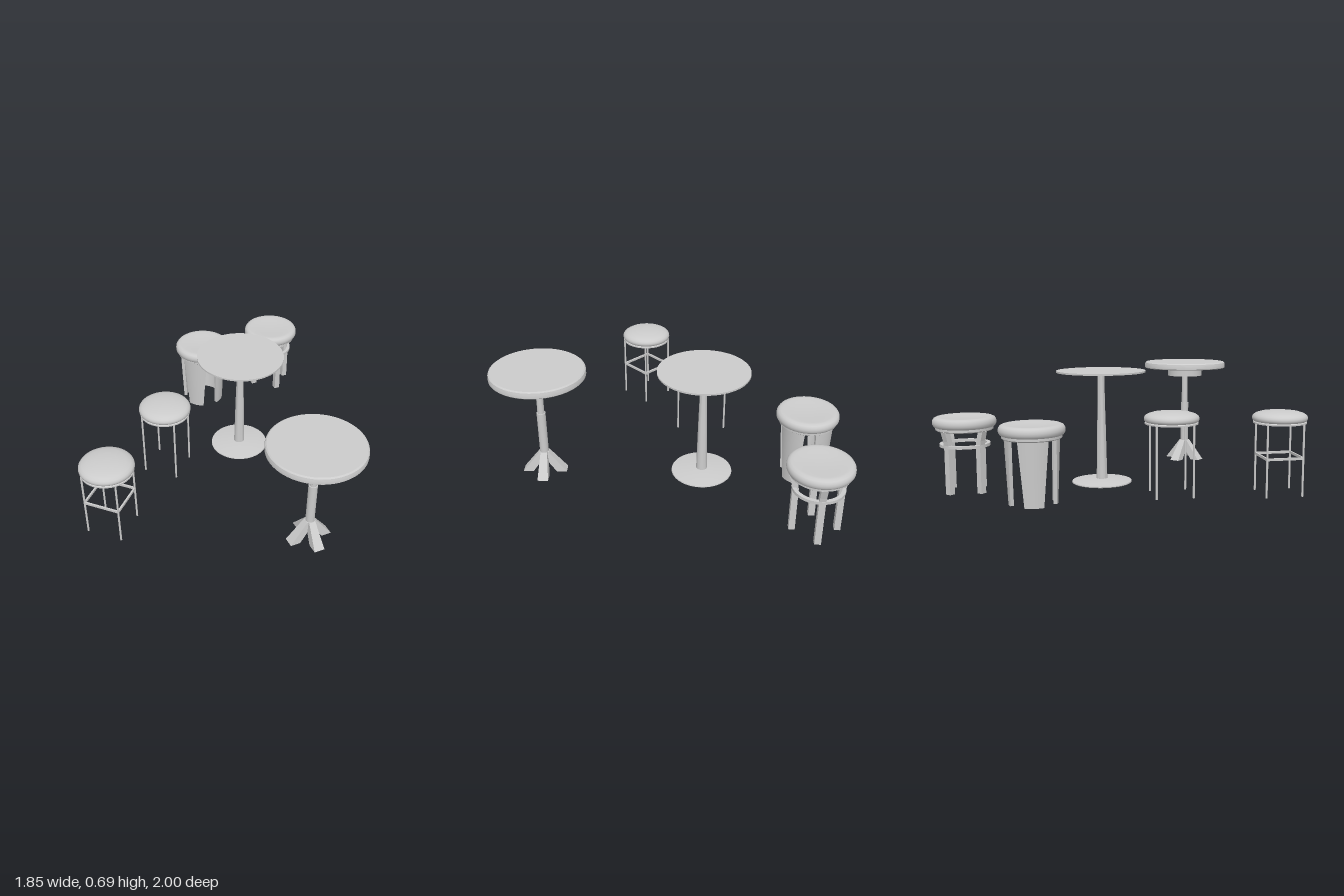
import * as THREE from 'three';
import { toCreasedNormals } from 'three/addons/utils/BufferGeometryUtils.js';

const material = new THREE.MeshStandardMaterial({ color: 0xcccccc });

function add(parent, name, geometry, x = 0, y = 0, z = 0) {
  const mesh = new THREE.Mesh(geometry, material);
  mesh.name = name;
  mesh.position.set(x, y, z);
  parent.add(mesh);
  return mesh;
}

function place(parent, name, x, z) {
  const group = new THREE.Group();
  group.name = name;
  group.position.set(x, 0, z);
  parent.add(group);
  return group;
}

// Turned solid from [radius, height] pairs, listed bottom to top
function turned(points, segments = 48) {
  const profile = points.map(([r, y]) => new THREE.Vector2(r, y));
  return toCreasedNormals(new THREE.LatheGeometry(profile, segments), 0.6);
}

// Runs a builder four times, a quarter turn apart
function fourTimes(parent, name, start, build) {
  for (let i = 0; i < 4; i++) {
    const arm = new THREE.Group();
    arm.name = name + (i + 1);
    arm.rotation.y = start + i * Math.PI / 2;
    parent.add(arm);
    build(arm);
  }
}

// Side profile in the radius/height plane, given a width
function slab(points, width) {
  const shape = new THREE.Shape(points.map(([r, y]) => new THREE.Vector2(r, y)));
  const geometry = new THREE.ExtrudeGeometry(shape, { depth: width, bevelEnabled: false });
  return geometry.translate(0, 0, -width / 2);
}

// Slim stool with four rod legs and optional square foot rail
function slimStool(parent, name, x, z, withRail) {
  const stool = place(parent, name, x, z);
  const legRadius = 0.149;
  add(stool, 'seatCushion', turned([
    [0, 0.42], [0.146, 0.42], [0.153, 0.426], [0.157, 0.435], [0.156, 0.445],
    [0.15, 0.455], [0.136, 0.464], [0.11, 0.472], [0.06, 0.479], [0, 0.481],
  ]));
  add(stool, 'seatPlate', turned([[0, 0.409], [0.152, 0.409], [0.152, 0.417], [0.146, 0.422], [0, 0.422]]));
  fourTimes(stool, 'legSide', 0, (side) => {
    add(side, 'leg', new THREE.CylinderGeometry(0.006, 0.006, 0.412, 12), legRadius, 0.206, 0);
    if (!withRail) return;
    const rail = add(side, 'footRail', new THREE.BoxGeometry(legRadius * Math.SQRT2, 0.014, 0.01),
      legRadius / 2, 0.218, legRadius / 2);
    rail.rotation.y = Math.PI / 4;
  });
}

// Thick round cushion on a stepped collar
function roundSeat(stool) {
  add(stool, 'seatCushion', turned([
    [0, 0.38], [0.16, 0.38], [0.172, 0.386], [0.179, 0.398], [0.18, 0.41], [0.178, 0.422],
    [0.171, 0.433], [0.158, 0.439], [0.14, 0.439], [0.1, 0.435], [0.05, 0.432], [0, 0.431],
  ]));
  add(stool, 'seatCollar', turned([[0, 0.362], [0.155, 0.362], [0.163, 0.368], [0.163, 0.382], [0, 0.382]]));
}

// Curved tapering leg panel, bent from a box around the stool axis
function legPanel() {
  const geometry = new THREE.BoxGeometry(1, 1, 1, 10, 6, 1);
  const p = geometry.attributes.position;
  for (let i = 0; i < p.count; i++) {
    const t = p.getY(i) + 0.5;
    const angle = p.getX(i) * 2 * THREE.MathUtils.lerp(0.4, 0.58, t);
    const radius = THREE.MathUtils.lerp(0.134, 0.15, t) + (p.getZ(i) - 0.5) * 0.02;
    p.setXYZ(i, Math.sin(angle) * radius, 0.005 + t * 0.36, Math.cos(angle) * radius);
  }
  return toCreasedNormals(geometry, 0.6);
}

function panelStool(parent, x, z) {
  const stool = place(parent, 'panelLegStool', x, z);
  roundSeat(stool);
  const panel = legPanel();
  fourTimes(stool, 'legSide', Math.PI / 4, (side) => add(side, 'legPanel', panel));
}

// Stool with flared posts tied by a ring
function ringStool(parent, x, z) {
  const stool = place(parent, 'ringStool', x, z);
  roundSeat(stool);
  const post = slab([
    [0.106, 0.005], [0.14, 0.005], [0.14, 0.275], [0.146, 0.31], [0.162, 0.365],
    [0.126, 0.365], [0.112, 0.31], [0.106, 0.275],
  ], 0.036);
  fourTimes(stool, 'legSide', 0, (side) => add(side, 'flaredLeg', post));
  add(stool, 'tieRing', turned([
    [0.122, 0.27], [0.143, 0.27], [0.143, 0.287], [0.122, 0.287], [0.122, 0.27],
  ]));
}

// Thin table on a tapered column and a shallow round foot
function discTable(parent, x, z) {
  const table = place(parent, 'discBaseTable', x, z);
  add(table, 'tableTop', new THREE.CylinderGeometry(0.265, 0.265, 0.01, 64), 0, 0.68, 0);
  add(table, 'column', turned([
    [0, 0.02], [0.033, 0.02], [0.031, 0.1], [0.026, 0.35], [0.022, 0.5], [0.02, 0.677], [0, 0.677],
  ], 32));
  add(table, 'baseDisc', turned([
    [0, 0.01], [0.176, 0.01], [0.18, 0.014], [0.178, 0.02], [0.12, 0.028], [0.04, 0.034], [0, 0.034],
  ], 64));
}

// Thick table on a stepped column with four splayed feet
function splayedTable(parent, x, z) {
  const table = place(parent, 'splayedFootTable', x, z);
  add(table, 'tableTop', turned([
    [0, 0.643], [0.27, 0.643], [0.275, 0.648], [0.275, 0.67], [0.272, 0.679], [0.264, 0.685], [0, 0.685],
  ], 64));
  add(table, 'hub', new THREE.CylinderGeometry(0.116, 0.116, 0.056, 48), 0, 0.617, 0);
  add(table, 'upperColumn', new THREE.CylinderGeometry(0.02, 0.02, 0.2, 32), 0, 0.492, 0);
  add(table, 'lowerColumn', new THREE.CylinderGeometry(0.026, 0.026, 0.31, 32), 0, 0.245, 0);
  // Feet widen toward the floor
  const foot = slab([[0.01, 0.09], [0.07, 0.008], [0.13, 0.008], [0.028, 0.138], [0.01, 0.138]], 0.06);
  const p = foot.attributes.position;
  for (let i = 0; i < p.count; i++) {
    p.setZ(i, p.getZ(i) * THREE.MathUtils.mapLinear(p.getY(i), 0.008, 0.138, 1.05, 0.65));
  }
  foot.computeVertexNormals();
  fourTimes(table, 'footSide', 0, (side) => add(side, 'foot', foot));
}

export function createModel() {
  const model = new THREE.Group();
  model.name = 'tablesAndStools';
  slimStool(model, 'railStool', -0.77, 0.155, true);
  slimStool(model, 'plainStool', -0.283, -0.22, false);
  panelStool(model, 0.22, -0.82);
  ringStool(model, 0.742, -0.82);
  discTable(model, 0.22, -0.217);
  splayedTable(model, 0.22, 0.722);
  return model;
}
